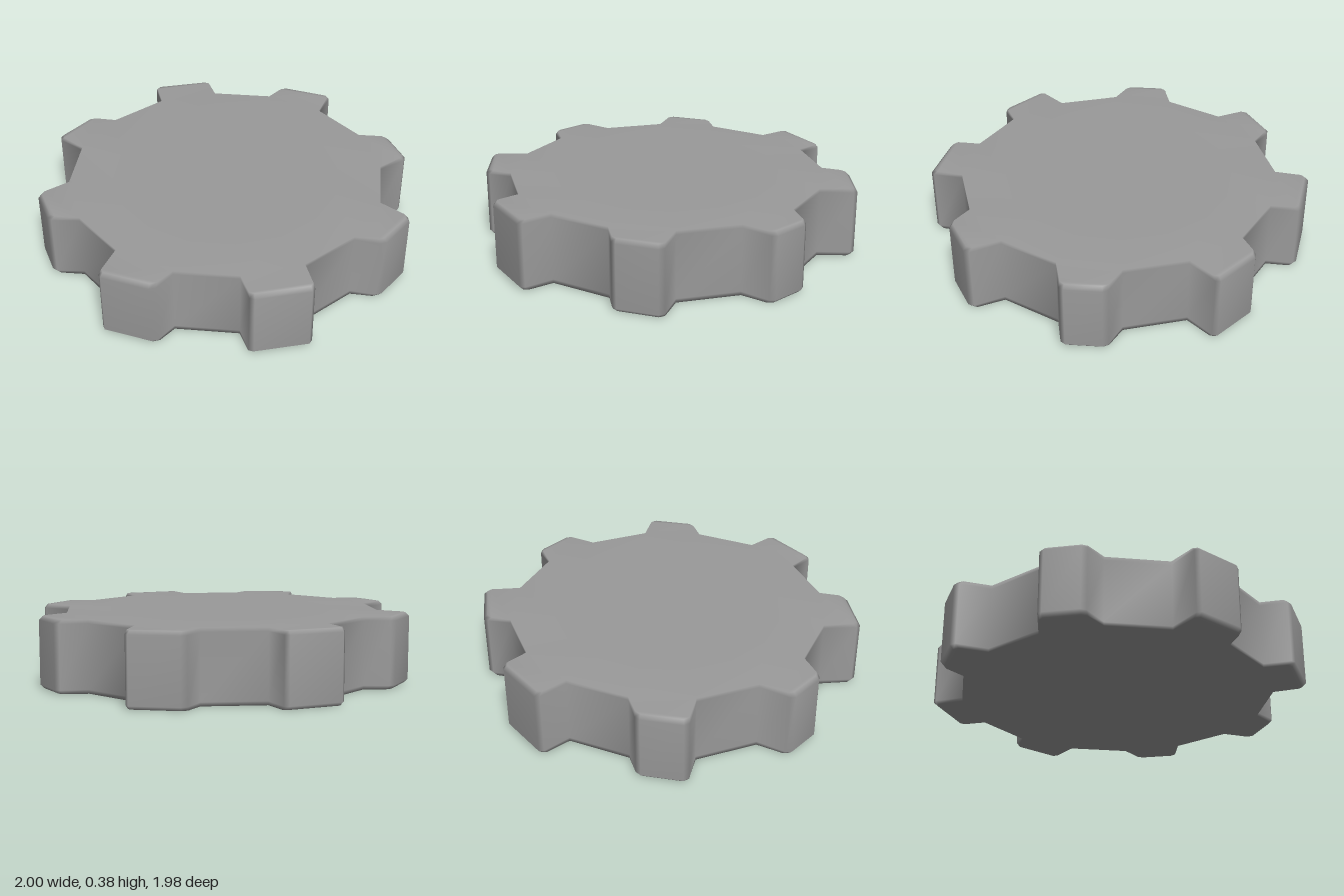
import * as THREE from 'three';
import { mergeVertices } from 'three/addons/utils/BufferGeometryUtils.js';

const HEIGHT = 0.376;
const BEVEL = 0.02;

// Four tooth outlines [x, z]: root, shoulder, tip, tip, shoulder, root.
// The other four are the same teeth turned by half a circle.
const TEETH = [
  [[-0.32, -0.78], [-0.347, -0.937], [-0.332, -0.96], [-0.055, -0.992], [-0.03, -0.98], [0, -0.84]],
  [[0.32, -0.78], [0.405, -0.873], [0.44, -0.88], [0.668, -0.778], [0.675, -0.752], [0.592, -0.596]],
  [[0.778, -0.323], [0.922, -0.307], [0.946, -0.285], [0.998, -0.108], [0.986, -0.08], [0.84, -0.003]],
  [[0.778, 0.32], [0.9, 0.435], [0.9, 0.468], [0.755, 0.622], [0.722, 0.63], [0.594, 0.59]],
];

function gearGeometry() {
  const teeth = [...TEETH, ...TEETH.map((t) => t.map(([x, z]) => [-x, -z]))];
  const positions = [];
  const tri = (...corners) => corners.forEach((c) => positions.push(...c));
  const quad = (a, b, c, d) => { tri(a, b, c); tri(a, c, d); };
  const at = ([x, z], y) => [x, y, z];
  const scaled = ([x, z], s) => [x * s, z * s];

  // Flat polygon on the top and the bottom
  const bothFaces = (points) => {
    const top = points.map((p) => at(p, HEIGHT));
    const bottom = points.map((p) => at(p, 0));
    for (let i = 1; i < points.length - 1; i++) {
      tri(top[0], top[i + 1], top[i]);
      tri(bottom[0], bottom[i], bottom[i + 1]);
    }
  };
  // Wall from p to q with narrow edge bands that end at rimP and rimQ
  const wall = (p, q, rimP, rimQ) => {
    const column = (point, rim) => [
      at(rim, 0), at(point, BEVEL), at(point, HEIGHT - BEVEL), at(rim, HEIGHT)];
    const left = column(q, rimQ);
    const right = column(p, rimP);
    for (let i = 0; i < 3; i++) quad(left[i], right[i], right[i + 1], left[i + 1]);
  };

  teeth.forEach((tooth, k) => {
    const next = teeth[(k + 1) % teeth.length][0];
    // The rim of a tooth draws in at the tip and meets the wall at the roots
    const rim = tooth.map((p, i) => (i === 0 || i === 5 ? p : scaled(p, 1 - BEVEL)));
    const [a, c, e, f, d, b] = rim;
    bothFaces([a, c, d, b]);
    bothFaces([c, e, f, d]);
    // Disc sectors under the tooth and under the gap
    for (const [p, q] of [[a, b], [b, next]]) {
      bothFaces([scaled(p, 0.72), p, q, scaled(q, 0.72)]);
      bothFaces([[0, 0], scaled(p, 0.72), scaled(q, 0.72)]);
    }
    // Tooth sides, tip and the wall of the gap
    for (let i = 0; i < 5; i++) wall(tooth[i], tooth[i + 1], rim[i], rim[i + 1]);
    wall(b, next, b, next);
  });

  // Shared vertices give soft shading over every edge
  const geometry = new THREE.BufferGeometry();
  geometry.setAttribute('position', new THREE.Float32BufferAttribute(positions, 3));
  const smooth = mergeVertices(geometry);
  smooth.computeVertexNormals();
  return smooth;
}

export function createModel() {
  const group = new THREE.Group();
  group.name = 'gear';
  const wheel = new THREE.Mesh(gearGeometry(), new THREE.MeshStandardMaterial({ color: 0x9a9a9a }));
  wheel.name = 'toothedWheel';
  group.add(wheel);
  return group;
}
